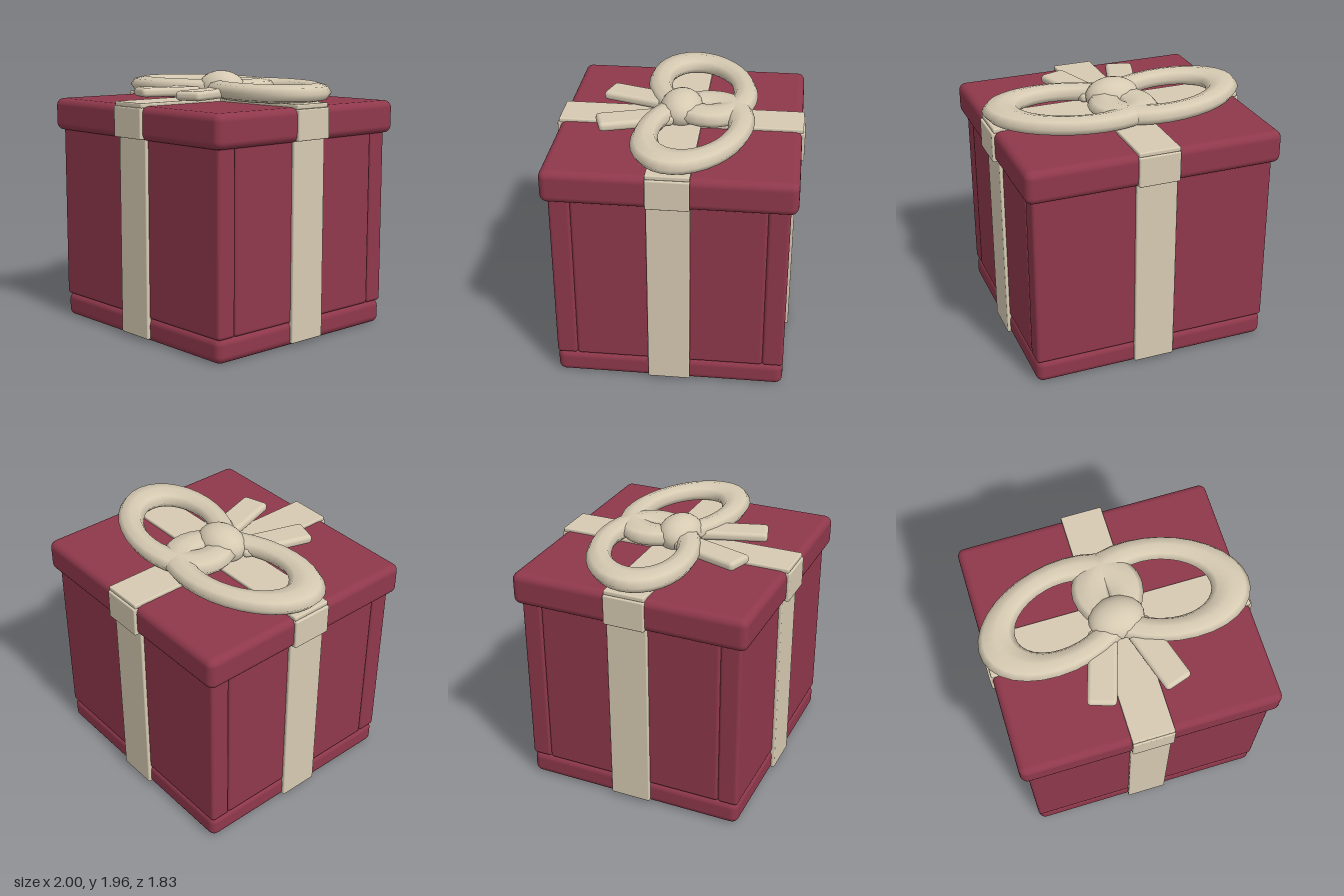
import * as THREE from 'three';
import { RoundedBoxGeometry } from 'three/addons/geometries/RoundedBoxGeometry.js';

export function createModel() {
  const model = new THREE.Group();
  model.name = 'giftBox';

  const red = new THREE.MeshStandardMaterial({ color: 0x8f384b });
  red.name = 'wrapping red';
  const cream = new THREE.MeshStandardMaterial({ color: 0xd6cab2 });
  cream.name = 'ribbon cream';

  function add(name, geometry, material, x, y, z, parent = model) {
    const mesh = new THREE.Mesh(geometry, material);
    mesh.name = name;
    mesh.position.set(x, y, z);
    parent.add(mesh);
    return mesh;
  }
  // Rounded box given by its size, centre and edge radius
  function block(name, [w, h, d], [x, y, z], radius, material, parent) {
    return add(name, new RoundedBoxGeometry(w, h, d, 3, radius), material, x, y, z, parent);
  }

  // Box: base slab, four wall panels and lid
  block('base', [1.82, 0.185, 1.69], [0, 0.0925, 0], 0.055, red);
  for (const s of [-1, 1]) {
    block('endWall', [1.82, 1.36, 0.155], [0, 0.855, s * 0.7675], 0.025, red);
    block('sideWall', [0.155, 1.36, 1.385], [s * 0.8325, 0.855, 0], 0.025, red);
  }
  block('lid', [1.92, 0.245, 1.79], [0, 1.6125, 0], 0.055, red);

  // Ribbons down each wall, over the lid rim and across the top
  for (const s of [-1, 1]) {
    block('endRibbon', [0.31, 1.475, 0.04], [0, 0.7625, s * 0.85], 0.01, cream);
    block('sideRibbon', [0.04, 1.475, 0.31], [s * 0.915, 0.7625, 0], 0.01, cream);
    block('lidEndRibbon', [0.31, 0.225, 0.04], [0, 1.6125, s * 0.897], 0.01, cream);
    block('lidSideRibbon', [0.04, 0.225, 0.31], [s * 0.96, 1.6125, 0], 0.01, cream);
  }
  block('topRibbonLong', [0.31, 0.035, 1.81], [0, 1.7405, 0], 0.01, cream);
  block('topRibbonCross', [1.93, 0.035, 0.31], [0, 1.7405, 0], 0.01, cream);

  // Bow: two flattened oval loops, two tails and a knot
  const bow = new THREE.Group();
  bow.name = 'bow';
  model.add(bow);
  for (const s of [-1, 1]) {
    const ring = new THREE.TorusGeometry(1, 0.28, 8, 32);
    ring.rotateX(Math.PI / 2);
    ring.scale(0.503, 0.0675 / 0.28, 0.319);
    const loop = add('bowLoop', ring, cream, s * 0.37, 1.82, -0.12, bow);
    loop.rotation.y = -s * 0.275;

    const tail = block('bowTail', [0.21, 0.07, 0.55], [s * 0.2, 1.801, 0.33], 0.03, cream, bow);
    tail.rotation.y = s * 0.305;
  }
  const knot = new THREE.SphereGeometry(1, 20, 14);
  knot.scale(0.205, 0.135, 0.16);
  add('bowKnot', knot, cream, 0, 1.82, 0.003, bow);

  return model;
}
